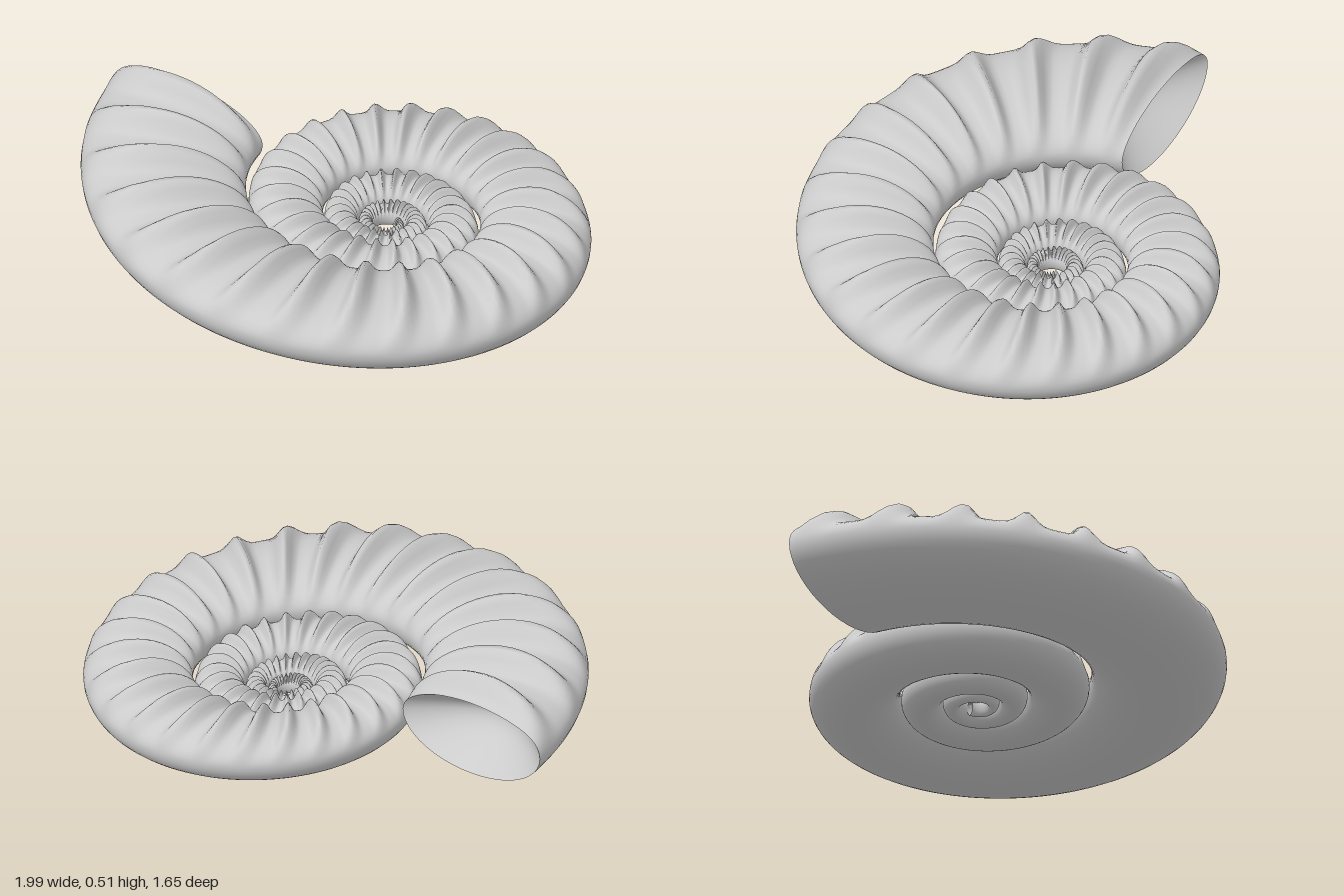
import * as THREE from 'three';

const DEG = Math.PI / 180;
const CENTRE_X = 0.19, CENTRE_Z = -0.16;
const END = 212.3 * DEG;          // angle of the mouth
const MOUTH_RADIUS = 1.27;        // outer radius of the coil at the mouth
const TURNS = 3.69;
const WHORL_RATIO = 2.22;         // growth in one full turn
const FLOOR_Y = 0.053, TILT = 0.067; // the base leans up towards the mouth
const RIBS = 26;                  // ribs in one full turn
const STEPS = 1000, SIDES = 44;

// One point on the shell: t runs along the coil, phi around the tube
function shellPoint(t, phi) {
  const theta = END - (1 - t) * TURNS * 2 * Math.PI;
  const outer = MOUTH_RADIUS * Math.pow(WHORL_RATIO, -(1 - t) * TURNS);
  const inner = outer * 0.459;
  const size = outer / 0.817;
  const lower = 0.14 * Math.pow(size, 0.57);

  const c = Math.cos(phi), s = Math.sin(phi);
  const r = (outer + inner) / 2 + c * (outer - inner) / 2;
  let y = 0.055 + 0.085 * size + lower * s * (s > 0 ? 0.77 : 1);

  // ribs cover the upper half only and sweep forward on the outer flank
  if (s > 0) {
    const sweep = 3 * DEG * Math.max(0, c) ** 2;
    const wave = 0.5 + 0.5 * Math.cos(RIBS * (theta - sweep - 179 * DEG));
    y += lower * 0.5 * Math.pow(wave, 2.4) * Math.pow(s, 1.3);
  }
  const x = CENTRE_X + r * Math.cos(theta);
  return new THREE.Vector3(x, FLOOR_Y + y - TILT * x, CENTRE_Z + r * Math.sin(theta));
}

// Skin of closed rings; point(u, phi) gives a corner, u from 0 to 1
function ringSurface(steps, point) {
  const positions = [], indices = [];
  for (let i = 0; i <= steps; i++) {
    for (let j = 0; j < SIDES; j++) {
      positions.push(...point(i / steps, (j / SIDES) * 2 * Math.PI).toArray());
      if (i === steps) continue;
      const a = i * SIDES + j, b = i * SIDES + (j + 1) % SIDES;
      indices.push(a, b, a + SIDES, b, b + SIDES, a + SIDES);
    }
  }
  const geometry = new THREE.BufferGeometry();
  geometry.setAttribute('position', new THREE.Float32BufferAttribute(positions, 3));
  geometry.setIndex(indices);
  geometry.computeVertexNormals();
  return geometry;
}

export function createModel() {
  const group = new THREE.Group();
  group.name = 'spiralShell';
  const material = new THREE.MeshStandardMaterial({ color: 0xcccccc, side: THREE.DoubleSide });
  const add = (name, geometry) => {
    const mesh = new THREE.Mesh(geometry, material);
    mesh.name = name;
    group.add(mesh);
  };

  add('ribbedCoil', ringSurface(STEPS, shellPoint));

  // hollow of the mouth: rings shrink while sinking back into the tube
  const middle = shellPoint(1, 0).add(shellPoint(1, Math.PI)).multiplyScalar(0.5);
  const inward = new THREE.Vector3(Math.sin(END), 0, -Math.cos(END));
  add('mouthHollow', ringSurface(16, (u, phi) =>
    shellPoint(1, phi).lerp(middle, u * 0.999)
      .addScaledVector(inward, 0.18 * Math.sin(u * Math.PI / 2))));

  // stand on the ground, centred
  const box = new THREE.Box3().setFromObject(group, true);
  const centre = box.getCenter(new THREE.Vector3());
  group.position.set(-centre.x, -box.min.y, -centre.z);
  return group;
}
